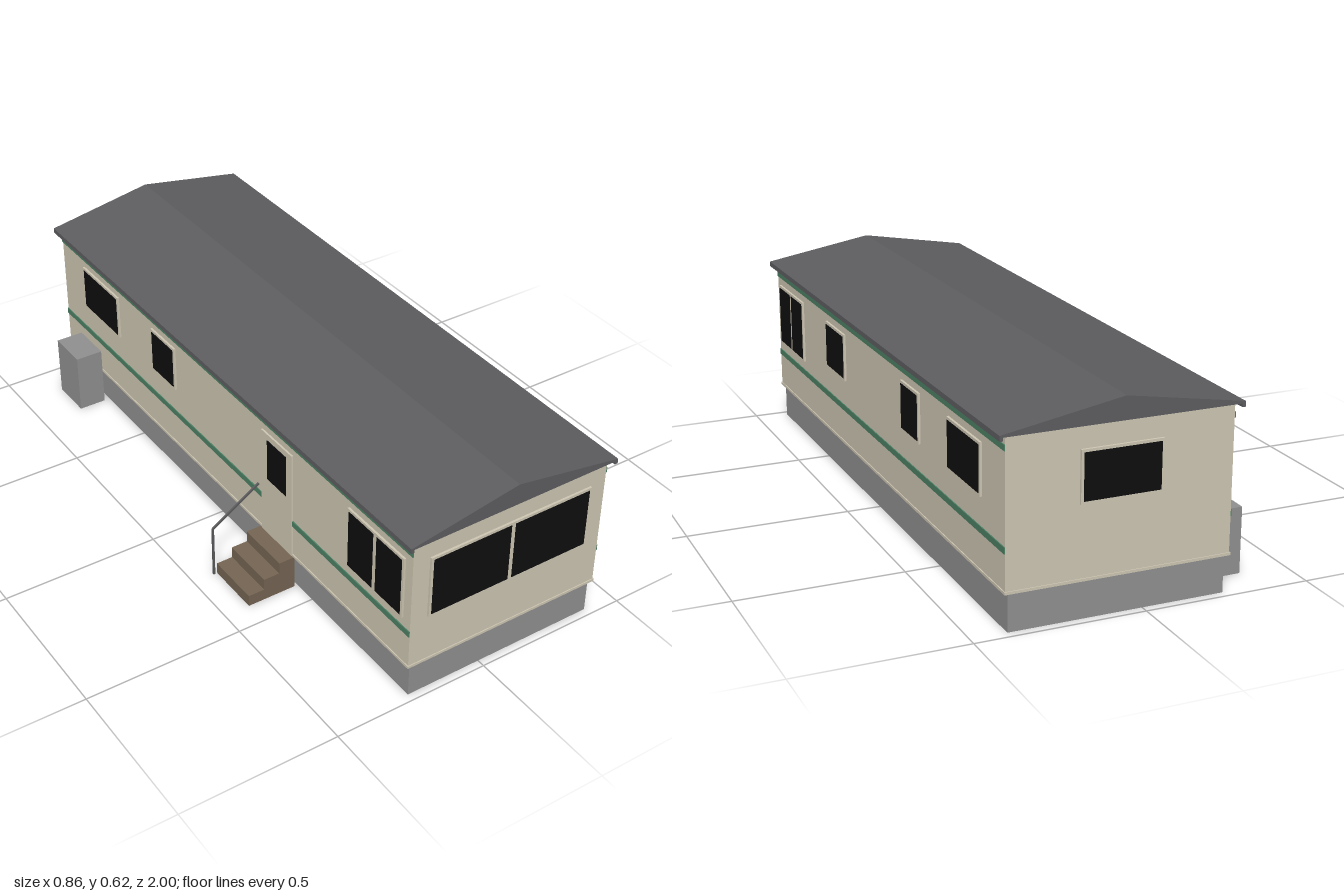
import * as THREE from 'three';

const mat = (name, color) => {
  const m = new THREE.MeshStandardMaterial({ color });
  m.name = name;
  return m;
};

export function createModel() {
  const cream = mat('cream cladding', 0xcdc5b2);
  const roofGrey = mat('roof grey', 0x5d5d60);
  const skirtGrey = mat('skirt grey', 0x8f8f8f);
  const green = mat('green stripe', 0x4c8064);
  const glass = mat('dark glass', 0x0e0e0e);
  const wood = mat('step wood', 0x746453);
  const railGrey = mat('rail grey', 0x5a5a5c);

  const home = new THREE.Group();
  home.name = 'staticCaravan';

  // Box from its min and max corners
  const box = (name, m, [x0, x1], [y0, y1], [z0, z1], parent = home) => {
    const mesh = new THREE.Mesh(new THREE.BoxGeometry(x1 - x0, y1 - y0, z1 - z0), m);
    mesh.position.set((x0 + x1) / 2, (y0 + y1) / 2, (z0 + z1) / 2);
    mesh.name = name;
    parent.add(mesh);
    return mesh;
  };

  const X0 = -0.258, X1 = 0.405, MID = (X0 + X1) / 2, Z = 0.983, FLOOR = 0.115;

  // Shell
  box('skirt', skirtGrey, [-0.247, 0.395], [0, FLOOR], [-0.975, 0.975]);
  box('body', cream, [X0, X1], [FLOOR, 0.55], [-Z, Z]);
  box('floorTrim', cream, [X0 - 0.003, X1 + 0.003], [0.112, 0.12], [-Z - 0.003, Z + 0.003]);

  // Shallow gable roof
  const gable = new THREE.Shape([
    [-0.28, 0.548], [0.428, 0.548], [0.428, 0.554], [0.074, 0.615], [-0.28, 0.554],
  ].map(([x, y]) => new THREE.Vector2(x, y)));
  const roof = new THREE.Mesh(
    new THREE.ExtrudeGeometry(gable, { depth: 2, bevelEnabled: false }), roofGrey);
  roof.position.z = -1;
  roof.name = 'roof';
  home.add(roof);
  box('rightGutter', roofGrey, [-0.28, -0.27], [0.538, 0.55], [-1, 1]);
  box('leftGutter', roofGrey, [0.418, 0.428], [0.538, 0.55], [-1, 1]);

  // Wall-mounted plate: wall is 'left', 'right', 'front' or 'back'; u runs along the wall
  const plate = (name, m, wall, u, y, out, parent) => {
    if (wall === 'left') return box(name, m, [X1, X1 + out], y, u, parent);
    if (wall === 'right') return box(name, m, [X0 - out, X0], y, u, parent);
    if (wall === 'front') return box(name, m, u, y, [Z, Z + out], parent);
    return box(name, m, u, y, [-Z - out, -Z], parent);
  };

  // Window: cream frame with one or more glass panes
  const addWindow = (name, wall, panes, [y0, y1]) => {
    const g = new THREE.Group();
    g.name = name;
    const e = 0.008;
    const u = [panes[0][0] - e, panes[panes.length - 1][1] + e];
    plate('windowFrame', cream, wall, u, [y0 - e, y1 + e], 0.007, g);
    panes.forEach((p) => plate('windowPane', glass, wall, p, [y0, y1], 0.0085, g));
    home.add(g);
  };

  const tall = [0.283, 0.472], small = [0.338, 0.473];
  addWindow('frontWindow', 'front', [[-0.194, 0.068], [0.082, 0.344]], tall);
  addWindow('backWindow', 'back', [[MID - 0.113, MID + 0.113]], small);
  for (const side of ['left', 'right']) {
    addWindow(side + 'LoungeWindow', side, [[0.7, 0.814], [0.83, 0.944]], tall);
    addWindow(side + 'MiddleWindow', side, [[-0.378, -0.25]], small);
    addWindow(side + 'RearWindow', side, [[-0.825, -0.608]], small);
    plate(side + 'UpperStripe', green, side, [-Z, Z], [0.505, 0.522], 0.003);
    plate(side + 'LowerStripe', green, side, [-Z, Z], [0.225, 0.244], 0.003);
  }
  addWindow('leftKitchenWindow', 'left', [[0.27, 0.435]], small);

  // Entrance door
  plate('door', cream, 'right', [0.255, 0.415], [FLOOR, 0.48], 0.006);
  plate('doorWindow', glass, 'right', [0.288, 0.387], [0.32, 0.46], 0.0075);

  // Three solid steps
  for (let i = 0; i < 3; i++) {
    const x = -0.418 + i * 0.0535;
    box('step' + (i + 1), wood, [x, x + 0.0535], [0, 0.0375 * (i + 1)], [0.244, 0.422]);
  }

  // Handrail on one side of the steps
  box('railPost', railGrey, [-0.431, -0.425], [0, 0.174], [0.239, 0.245]);
  const dx = 0.163, dy = 0.102;
  const rail = box('handrail', railGrey, [0, Math.hypot(dx, dy)], [0, 0.006], [0.239, 0.245]);
  rail.position.set(-0.428 + dx / 2, 0.173 + dy / 2, 0.242);
  rail.rotation.z = Math.atan2(dy, dx);

  // Utility box
  box('utilityBox', skirtGrey, [-0.357, -0.266], [0, 0.2], [-0.88, -0.74]);

  return home;
}
